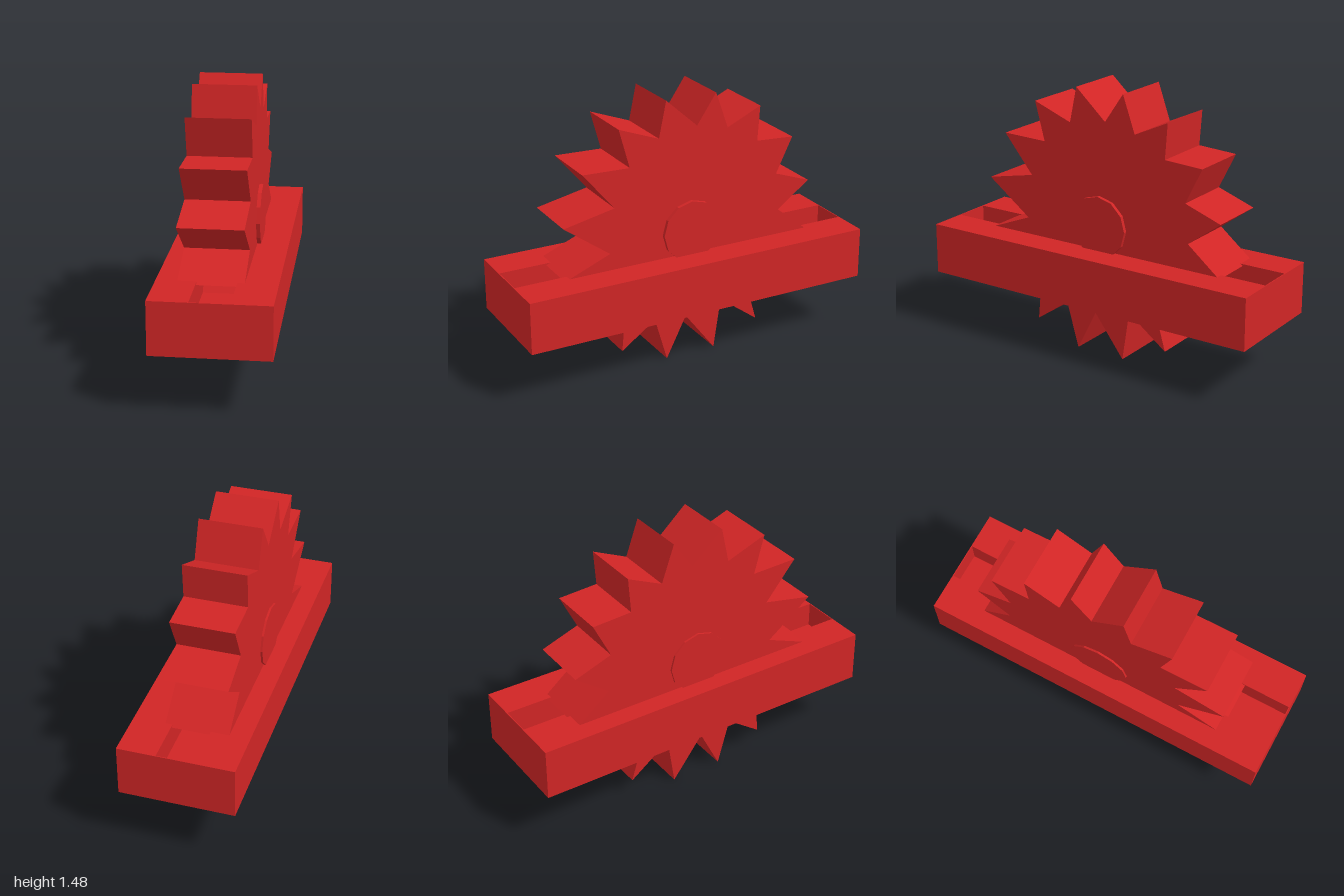
import * as THREE from 'three';

export function createModel() {
  const model = new THREE.Group();
  const red = new THREE.MeshStandardMaterial({ color: 0xd02525 });
  red.name = 'red';

  const add = (name, geometry, x, y, z) => {
    const mesh = new THREE.Mesh(geometry, red);
    mesh.name = name;
    mesh.position.set(x, y, z);
    model.add(mesh);
    return mesh;
  };
  const box = (name, w, h, d, x, y, z) => add(name, new THREE.BoxGeometry(w, h, d), x, y, z);

  // Trough: base slab, two rails and thin end walls
  const bottom = 0.32, floor = 0.465, top = 0.606;
  box('troughFloor', 0.62, floor - bottom, 2, 0, (floor + bottom) / 2, 0);
  for (const side of [-1, 1]) {
    const name = side > 0 ? 'left' : 'right';
    box(name + 'Rail', 0.208, top - floor, 2, side * 0.206, (top + floor) / 2, 0);
    box(side > 0 ? 'frontWall' : 'backWall', 0.204, top - floor, 0.005, 0, (top + floor) / 2, side * 0.9975);
  }

  // Toothed wheel: evenly spaced tips with uneven notches [z, y] between them
  const centreZ = -0.01, centreY = 0.743, tipRadius = 0.755;
  const notches = [
    [-0.045, 1.32], [0.18, 1.285], [0.35, 1.155], [0.44, 0.95],
    [0.47, 0.70], [0.45, 0.51], [0.385, 0.37], [0.21, 0.255],
    [0.02, 0.235], [-0.20, 0.285], [-0.35, 0.39], [-0.50, 0.55],
    [-0.56, 0.75], [-0.54, 0.965], [-0.415, 1.175], [-0.23, 1.28],
  ];
  const outline = [];
  notches.forEach(([z, y], i) => {
    const a = ((i + 0.5) / notches.length) * Math.PI * 2;
    outline.push(new THREE.Vector2(-z, y));
    outline.push(new THREE.Vector2(-(centreZ + tipRadius * Math.sin(a)), centreY + tipRadius * Math.cos(a)));
  });
  const wheel = new THREE.ExtrudeGeometry(new THREE.Shape(outline), { depth: 0.34, bevelEnabled: false });
  wheel.rotateY(Math.PI / 2);
  add('toothedWheel', wheel, -0.2, 0, 0);

  // Axle showing slightly on both faces of the wheel
  const axle = new THREE.CylinderGeometry(0.17, 0.17, 0.372, 12).toNonIndexed();
  axle.computeVertexNormals();
  axle.rotateZ(Math.PI / 2);
  add('axle', axle, -0.025, 0.74, centreZ);

  return model;
}
